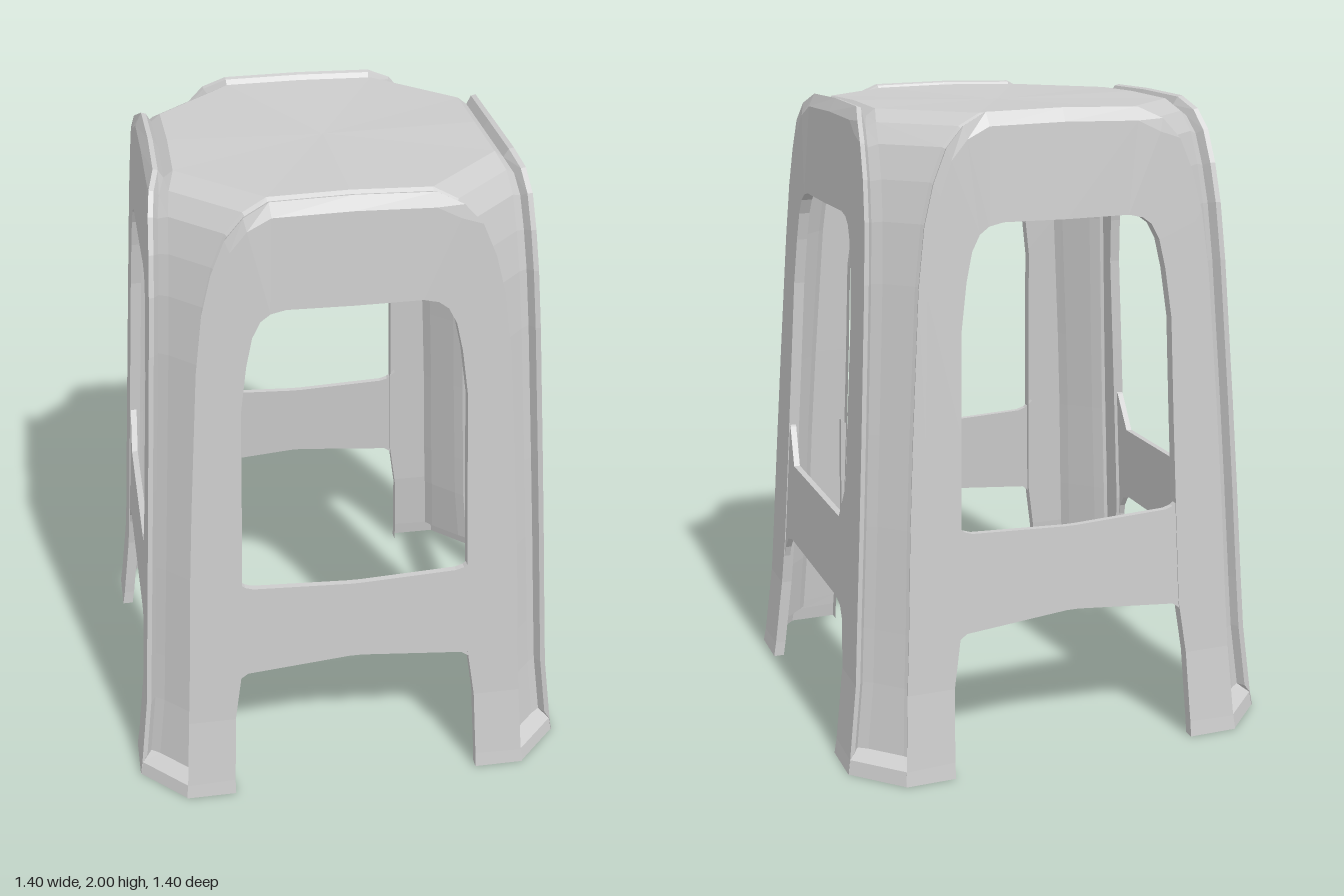
import * as THREE from 'three';

const material = new THREE.MeshStandardMaterial({ color: 0xcccccc, flatShading: true, side: THREE.DoubleSide });

// Half of a side panel, foot to top centre: [outer u, outer y, inner u, inner y]
const HALF = [
  [0.56, 0, 0.4, 0], [0.555, 0.045, 0.4, 0.05], [0.553, 0.07, 0.398, 0.09], [0.54, 0.28, 0.39, 0.28],
  [0.53, 0.45, 0.365, 0.45], [0.515, 0.77, 0.355, 0.77], [0.498, 1.05, 0.347, 1.05], [0.466, 1.5, 0.34, 1.36],
  [0.443, 1.68, 0.32, 1.51], [0.412, 1.8, 0.3, 1.6], [0.37, 1.9, 0.275, 1.648], [0.315, 1.96, 0.245, 1.67],
  [0.24, 1.995, 0.2, 1.68], [0, 2, 0, 1.678],
];
const TOP = HALF.length - 2; // row where the rounded shoulder meets the flat top
const PATH = [
  ...HALF.map(([u, y, iu, iy]) => [-u, y, -iu, iy]),
  ...HALF.slice(0, -1).reverse(),
];

// Distance of the panel face from the centre at height y
const DEPTH = [[0, 0.7], [0.05, 0.692], [0.28, 0.665], [1.6, 0.585], [1.93, 0.565], [1.97, 0.555], [2, 0.535]];
function depth(y) {
  for (let i = 1; i < DEPTH.length; i++) {
    const [y0, d0] = DEPTH[i - 1], [y1, d1] = DEPTH[i];
    if (y <= y1) return d0 + (d1 - d0) * (y - y0) / (y1 - y0);
  }
  return 0.535;
}

// Cross-section of the panel at one path row: inner flange, face, rim, groove, channel edge
function section(i) {
  const [u, y, iu, iy] = PATH[i];
  const a = PATH[Math.max(i - 1, 0)], b = PATH[Math.min(i + 1, PATH.length - 1)];
  const len = Math.hypot(b[0] - a[0], b[1] - a[1]);
  const nx = -(b[1] - a[1]) / len, ny = (b[0] - a[0]) / len;
  const k = y < 0.06 ? 0.06 : 1; // the groove fades out at the foot
  const d = depth(y);
  const off = (n, back) => [u - nx * n * k, y - ny * n * k, d - back * k];
  const e = 0.04 / Math.hypot(u - iu, y - iy);
  const mx = u + (iu - u) * e, my = y + (iy - y) * e;
  return [
    [iu, iy, depth(iy) - 0.035], [iu, iy, depth(iy)], [mx, my, depth(my)],
    [u, y, d], off(0.004, 0.015), off(0.03, 0.03), off(0.008, 0.058),
  ];
}

function meshFrom(name, triangles) {
  const g = new THREE.BufferGeometry();
  g.setAttribute('position', new THREE.Float32BufferAttribute(triangles.flat(2), 3));
  g.computeVertexNormals();
  const mesh = new THREE.Mesh(g, material);
  mesh.name = name;
  return mesh;
}

// Skin a grid of points
function loft(name, rows) {
  const tris = [];
  for (let i = 0; i < rows.length - 1; i++) {
    for (let j = 0; j < rows[i].length - 1; j++) {
      const a = rows[i][j], b = rows[i + 1][j], c = rows[i + 1][j + 1], d = rows[i][j + 1];
      tris.push([a, b, c], [a, c, d]);
    }
  }
  return meshFrom(name, tris);
}

// Thin crossbar leaning with the panel
function crossbar(half) {
  const pts = [...half, ...half.slice().reverse().map(([x, y]) => [-x, y])];
  const shape = new THREE.Shape(pts.map(([x, y]) => new THREE.Vector2(x, y)));
  const g = new THREE.ExtrudeGeometry(shape, { depth: 0.02, bevelEnabled: false });
  const p = g.attributes.position;
  for (let i = 0; i < p.count; i++) p.setZ(i, p.getZ(i) + depth(p.getY(i)) - 0.023);
  g.computeVertexNormals();
  const mesh = new THREE.Mesh(g, material);
  mesh.name = 'crossbar';
  return mesh;
}

export function createModel() {
  const stool = new THREE.Group();
  stool.name = 'stool';
  const rows = PATH.map((_, i) => section(i));
  const edge = rows.map((r) => r[r.length - 1]);

  // Recessed corner channel, rising from the foot and bending into the seat
  const channel = [];
  for (let i = 0; i <= TOP; i++) {
    const [x, y, z] = edge[PATH.length - 1 - i];
    channel.push([[z, y, x], [x, y, z]]);
  }

  // Bars: front/back are slightly arched, sides have gussets
  const arched = [[0.02, 0.476], [0.345, 0.447], [0.375, 0.425], [0.375, 0.79], [0.345, 0.765], [0.32, 0.757], [0.02, 0.744]];
  const gusseted = [[0.28, 0.477], [0.33, 0.462], [0.362, 0.42], [0.39, 0.34], [0.375, 0.88], [0.345, 0.86], [0.28, 0.738]];

  const rim = [];
  for (let s = 0; s < 4; s++) {
    const side = new THREE.Group();
    side.name = ['frontSide', 'leftSide', 'backSide', 'rightSide'][s];
    side.add(loft('sidePanel', rows), loft('cornerChannel', channel), crossbar(s % 2 ? gusseted : arched));
    side.rotation.y = s * Math.PI / 2;
    stool.add(side);
    for (let i = TOP; i <= TOP + 2; i++) {
      const v = new THREE.Vector3(...edge[i]).applyAxisAngle(new THREE.Vector3(0, 1, 0), s * Math.PI / 2);
      rim.push(v.toArray());
    }
  }

  // Seat top, very slightly dished
  stool.add(meshFrom('seat', rim.map((p, i) => [[0, 1.982, 0], p, rim[(i + 1) % rim.length]])));
  return stool;
}
